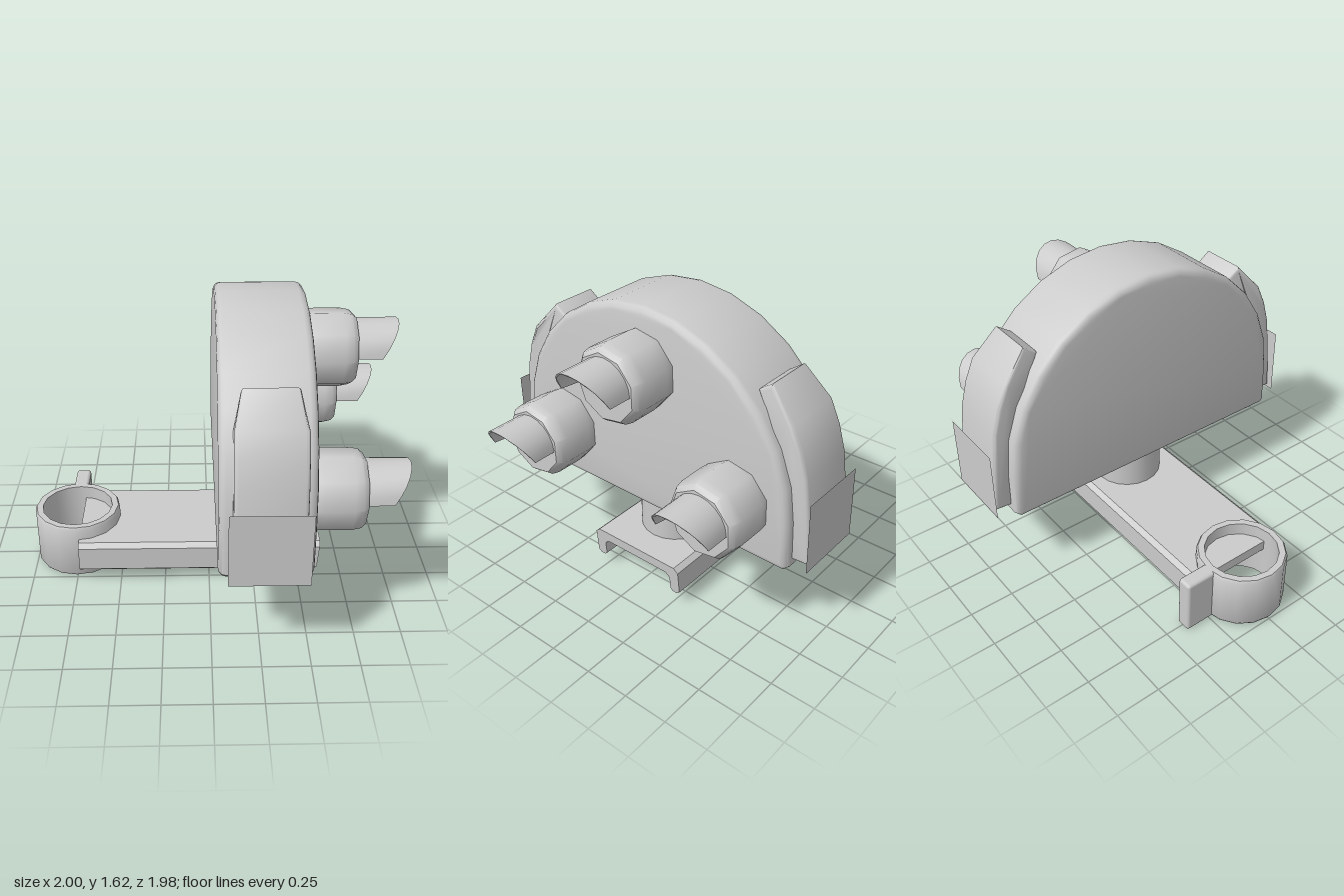
import * as THREE from 'three';
import { toCreasedNormals } from 'three/addons/utils/BufferGeometryUtils.js';
import { RoundedBoxGeometry } from 'three/addons/geometries/RoundedBoxGeometry.js';

const material = new THREE.MeshStandardMaterial({ color: 0xcccccc });
const sheetMaterial = new THREE.MeshStandardMaterial({ color: 0xcccccc, side: THREE.DoubleSide });
const CREASE = 0.65;

// Extrudes a [z, y] outline along x from x0 to x1, keeping its outer size when bevelled
function extrudeX(points, x0, x1, bevel = 0) {
  const shape = new THREE.Shape(points.map(([z, y]) => new THREE.Vector2(-z, y)));
  const geo = new THREE.ExtrudeGeometry(shape, {
    depth: x1 - x0 - 2 * bevel, bevelEnabled: bevel > 0,
    bevelSize: bevel, bevelThickness: bevel, bevelOffset: -bevel, bevelSegments: 3,
  });
  return geo.rotateY(Math.PI / 2).translate(x0 + bevel, 0, 0);
}

// Applies a rule to every vertex
function reshape(geo, rule) {
  const pos = geo.attributes.position;
  const v = new THREE.Vector3();
  for (let i = 0; i < pos.count; i++) {
    rule(v.fromBufferAttribute(pos, i));
    pos.setXYZ(i, v.x, v.y, v.z);
  }
  return geo;
}

function lathe(points, segments) {
  return new THREE.LatheGeometry(points.map(([r, y]) => new THREE.Vector2(r, y)), segments);
}

// Hooded half-tube, longer at the top and thinning to its tip
function visorGeometry() {
  const arc = (r) => Array.from({ length: 11 }, (_, i) => {
    const a = (Math.PI * i) / 10;
    return [r * Math.cos(a), r * Math.sin(a)];
  });
  const geo = extrudeX([...arc(0.16), ...arc(0.13).reverse()], 0, 1);
  return reshape(geo, (v) => {
    if (v.x > 0.5) {
      const r = Math.hypot(v.y, v.z);
      const thin = r < 0.15 ? 0.155 / r : 1;
      v.y *= thin;
      v.z *= thin;
      v.x = 0.9 + 0.095 * (v.y / 0.16);
    } else v.x = 0.76;
  });
}

export function createModel() {
  const model = new THREE.Group();
  function add(name, geo, parent = model, mat = material) {
    const mesh = new THREE.Mesh(geo, mat);
    mesh.name = name;
    parent.add(mesh);
    return mesh;
  }

  // Half-round housing
  const outline = [[-0.865, 0.465], [-0.89, 0.49]];
  for (let i = 0; i <= 14; i++) {
    const a = Math.PI * (1 - i / 14);
    outline.push([0.885 * Math.cos(a), 0.74 + 0.885 * Math.sin(a)]);
  }
  outline.push([0.89, 0.49], [0.865, 0.465]);
  add('housing', toCreasedNormals(extrudeX(outline, 0.03, 0.505, 0.04), CREASE));

  // Three lamps with visors
  const barrelGeo = toCreasedNormals(lathe(
    [[0.205, 0.49], [0.212, 0.55], [0.212, 0.70], [0.203, 0.745], [0.18, 0.77], [0, 0.77]], 9,
  ).rotateZ(-Math.PI / 2), 0.75);
  const visorGeo = toCreasedNormals(visorGeometry(), CREASE);
  for (const [y, z] of [[1.305, 0], [0.778, 0.57], [0.778, -0.57]]) {
    const lamp = new THREE.Group();
    lamp.name = 'lamp';
    lamp.position.set(0, y, z);
    add('lampBarrel', barrelGeo, lamp);
    add('lampVisor', visorGeo, lamp);
    model.add(lamp);
  }

  // Curved side guards, each with a flat square plate
  const guard = [[0.985, 0.525], [0.97, 0.75], [0.94, 1.0], [0.9, 1.14], [0.845, 1.26], [0.707, 1.415],
    [0.63, 1.36], [0.73, 1.2], [0.8, 1.05], [0.84, 0.8], [0.86, 0.515]];
  for (const side of [1, -1]) {
    const geo = extrudeX(guard.map(([z, y]) => [z * side, y]), 0.1, 0.45, 0.02);
    reshape(geo, (v) => {
      if (v.y > 1.33) v.x = 0.275 + (v.x - 0.275) * 0.8;
    });
    add('sideGuard', toCreasedNormals(geo, CREASE));
    const plate = add('sidePlate', new THREE.PlaneGeometry(0.4, 0.4), model, sheetMaterial);
    plate.position.set(0.275, 0.7, 0.988 * side);
    plate.rotation.y = side > 0 ? 0 : Math.PI;
  }

  // Short post between housing and arm
  add('post', new THREE.CylinderGeometry(0.195, 0.195, 0.26, 20)).position.set(0.275, 0.36, 0);

  // Channel-shaped arm, open below, its free end cut at a slight slant
  const half = [[0.235, 0.165], [0.235, 0.09], [0.25, 0.075], [0.28, 0.075], [0.297, 0.09],
    [0.297, 0.225], [0.27, 0.25]];
  const channel = [[0.21, 0.19], ...half, ...half.map(([z, y]) => [-z, y]).reverse(), [-0.21, 0.19]];
  const arm = reshape(extrudeX(channel, -0.73, 0.62), (v) => {
    if (v.x > 0) v.x -= 0.08 * (0.25 - v.y);
  });
  add('arm', toCreasedNormals(arm, CREASE));

  // Clamp ring with its tab
  const ring = lathe([[0.2, 0.005], [0.235, 0.005], [0.244, 0.02], [0.244, 0.31], [0.235, 0.325],
    [0.2, 0.325], [0.2, 0.005]], 16);
  add('clampRing', toCreasedNormals(ring, CREASE)).position.x = -0.756;
  add('clampTab', new RoundedBoxGeometry(0.085, 0.325, 0.19, 2, 0.018)).position.set(-0.757, 0.1625, -0.305);

  return model;
}
